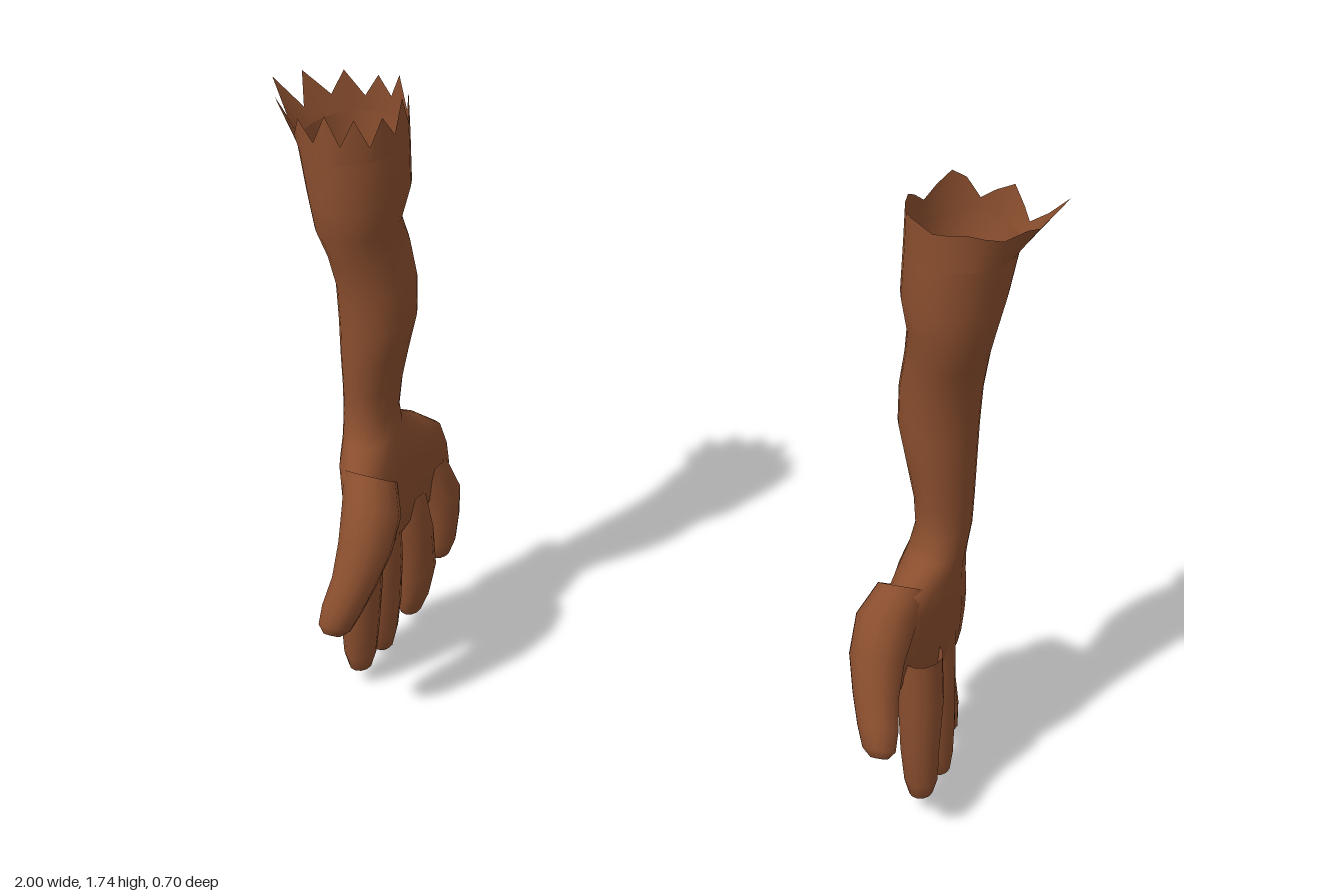
import * as THREE from 'three';

const SEG = 24;

// Skin through elliptical rings [x, y, z, rx, rz, cup]; cup bends the ring's sides inwards.
function ringPoints([x, y, z, rx, rz = rx, cup = 0], axis, n) {
  const u = new THREE.Vector3().crossVectors(axis, new THREE.Vector3(1, 0, 0)).normalize();
  const v = new THREE.Vector3().crossVectors(u, axis).normalize();
  return Array.from({ length: n }, (_, i) => {
    const a = (i / n) * Math.PI * 2, s = rz * Math.sin(a);
    return new THREE.Vector3(x - cup * s * s, y, z)
      .addScaledVector(v, rx * Math.cos(a)).addScaledVector(u, s);
  });
}

// Join rows of points; side mirrors in x, shift moves the part outwards.
function skin(rows, tip, side, shift) {
  const n = rows[0].length, pos = [], idx = [];
  const put = p => pos.push(side * (p.x + shift), p.y, p.z);
  const tri = (a, b, c) => (side > 0 ? idx.push(a, b, c) : idx.push(a, c, b));
  rows.forEach(r => r.forEach(put));
  for (let j = 0; j < rows.length - 1; j++) {
    for (let i = 0; i < n; i++) {
      const k = (i + 1) % n, a = j * n, b = a + n;
      tri(a + i, a + k, b + i);
      tri(a + k, b + k, b + i);
    }
  }
  if (tip) {
    put(tip);
    const a = (rows.length - 1) * n, t = rows.length * n;
    for (let i = 0; i < n; i++) tri(a + i, a + (i + 1) % n, t);
  }
  const g = new THREE.BufferGeometry();
  g.setAttribute('position', new THREE.Float32BufferAttribute(pos, 3));
  g.setIndex(idx);
  g.computeVertexNormals();
  return g;
}

const DOWN = new THREE.Vector3(0, -1, 0);

// Upper arm, elbow, forearm, wrist and palm
const ARM = [
  [.755, 1.58, -.05, .135, .155], [.745, 1.45, -.045, .125, .15],
  [.748, 1.36, -.032, .105, .125], [.735, 1.28, -.055, .1, .125],
  [.722, 1.18, -.065, .1, .115], [.722, 1.08, -.062, .098, .108],
  [.735, .98, -.06, .085, .102], [.747, .88, -.06, .073, .093],
  [.752, .8, -.055, .068, .09], [.745, .745, -.04, .07, .107],
  [.735, .7, -.035, .075, .185, .5], [.735, .64, -.04, .075, .242, 1],
  [.74, .56, -.06, .07, .258, 1], [.742, .48, -.09, .06, .253, 1],
  [.745, .41, -.1, .05, .235, 1], [.745, .375, -.1, .028, .2, 1],
];

// Centre lines and radii from knuckle to tip
const FINGERS = {
  indexFinger: [[.745, .48, .07, .055, .06], [.752, .34, .068, .058, .064], [.758, .2, .072, .05, .056],
    [.765, .1, .07, .043, .047], [.767, .055, .07, .03, .035], [.767, .043, .07, .012]],
  middleFinger: [[.745, .48, -.055, .055, .055], [.75, .32, -.06, .056, .057], [.76, .18, -.07, .05, .055],
    [.768, .08, -.076, .041, .047], [.773, .022, -.078, .03, .034], [.773, .004, -.078, .012]],
  ringFinger: [[.728, .48, -.17, .055, .055], [.715, .34, -.185, .056, .06], [.72, .2, -.213, .05, .058],
    [.738, .11, -.222, .043, .051], [.752, .05, -.225, .03, .036], [.755, .034, -.225, .012]],
  littleFinger: [[.71, .52, -.27, .055, .055], [.68, .41, -.298, .055, .056], [.683, .32, -.31, .048, .047],
    [.692, .24, -.313, .043, .042], [.7, .19, -.315, .03, .031], [.702, .174, -.315, .012]],
  thumb: [[.7, .68, .08, .07, .08], [.672, .62, .14, .077, .085], [.668, .54, .2, .07, .073],
    [.682, .46, .247, .058, .058], [.702, .395, .285, .052, .054], [.714, .35, .31, .042, .044],
    [.718, .332, .32, .022, .024]],
};

// Ragged heights of the torn end, from the outer side round by the front
const TEARS = {
  left: [1.74, 1.67, 1.68, 1.66, 1.67, 1.68, 1.675, 1.67, 1.68, 1.68, 1.675, 1.68,
    1.68, 1.66, 1.63, 1.66, 1.69, 1.67, 1.62, 1.65, 1.68, 1.64, 1.62, 1.67],
  right: [1.71, 1.63, 1.7, 1.62, 1.68, 1.63, 1.71, 1.63, 1.7, 1.62, 1.69, 1.63,
    1.71, 1.63, 1.69, 1.62, 1.7, 1.63, 1.68, 1.62, 1.69, 1.63, 1.7, 1.62],
};

function buildArm(name, side, shift, flare, material) {
  const arm = new THREE.Group();
  arm.name = name;
  const add = (part, geometry) => {
    const mesh = new THREE.Mesh(geometry, material);
    mesh.name = part;
    arm.add(mesh);
  };

  // Arm and palm in one skin
  const rows = ARM.map(r => ringPoints(r, DOWN, SEG));
  add('armAndPalm', skin(rows, new THREE.Vector3(.74, .365, -.1), side, shift));

  // Torn end, flaring to the outer side
  const rim = rows[0].map((p, i) => {
    const y = TEARS[name === 'leftArm' ? 'left' : 'right'][i];
    const c = Math.max(0, Math.cos((i / SEG) * Math.PI * 2));
    return new THREE.Vector3(p.x + flare * (y - 1.58) * c * c, y, p.z);
  });
  add('tornEnd', skin([rim, rows[0]], null, side, shift));

  // Fingers and thumb
  for (const [part, path] of Object.entries(FINGERS)) {
    const first = new THREE.Vector3(...path[0]), last = new THREE.Vector3(...path.at(-1));
    const axis = last.clone().sub(first).normalize();
    add(part, skin(path.map(r => ringPoints(r, axis, 12)), last, side, shift));
  }
  return arm;
}

export function createModel() {
  const brown = new THREE.MeshStandardMaterial({ color: 0x8a4e2e, side: THREE.DoubleSide });
  brown.name = 'brown skin';
  const model = new THREE.Group();
  model.name = 'pairOfArms';
  model.add(
    buildArm('leftArm', 1, 0, .69, brown),
    buildArm('rightArm', -1, .033, .6, brown),
  );
  return model;
}
